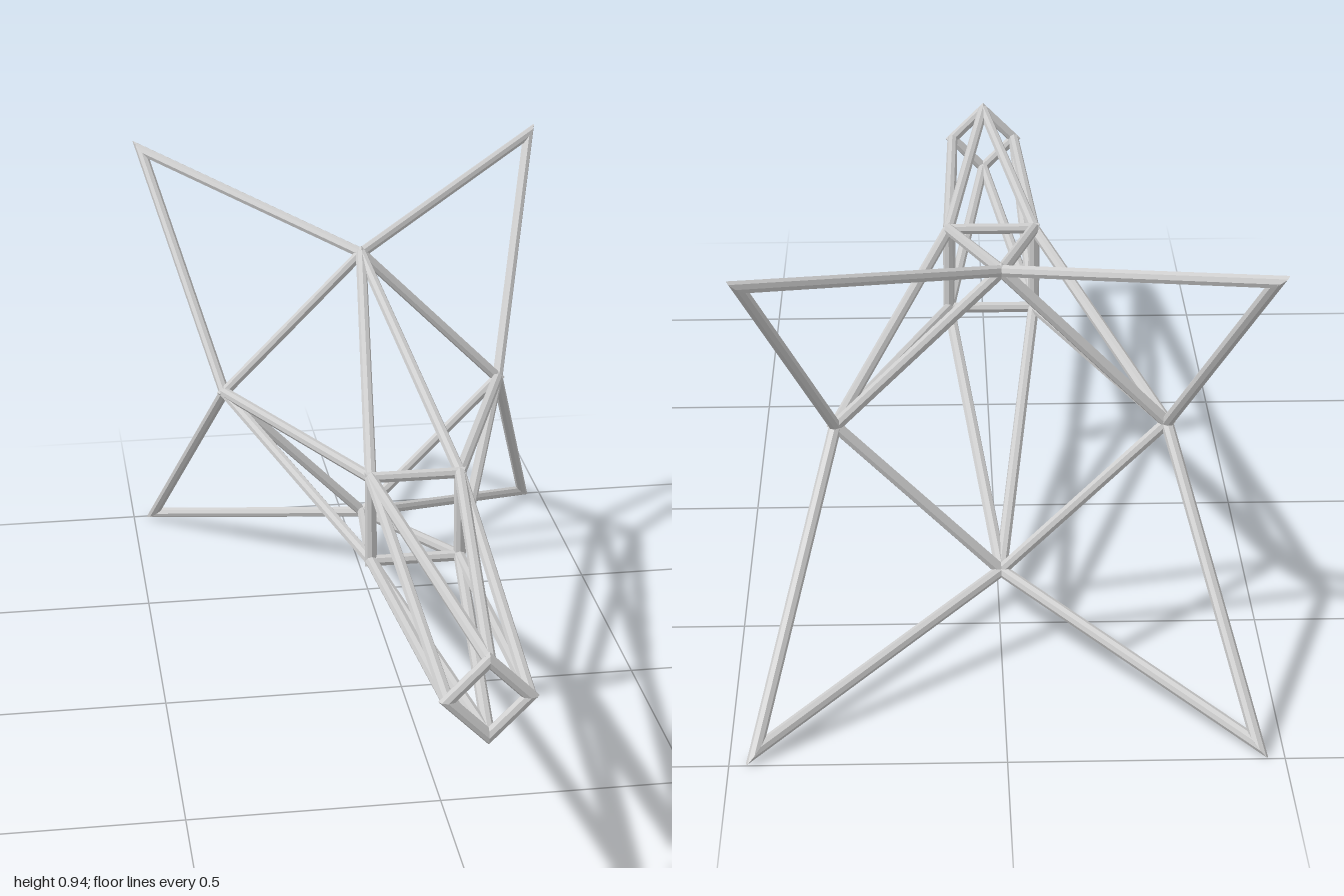
import * as THREE from 'three';

const CENTER_Y = 0.4695, RADIUS = 0.0118;

// Four nodes around the z axis, starting at the given angle (degrees).
function ringNodes(radius, z, startDeg) {
  return [0, 1, 2, 3].map((i) => {
    const a = THREE.MathUtils.degToRad(startDeg + 90 * i);
    return new THREE.Vector3(radius * Math.cos(a), radius * Math.sin(a), z);
  });
}

// Round strut between two nodes; ends are mitred on the node's radial symmetry plane.
function strutGeometry(a, b) {
  const dir = b.clone().sub(a);
  const len = dir.length();
  dir.normalize();
  const geo = new THREE.CylinderGeometry(RADIUS, RADIUS, len, 8);
  geo.applyQuaternion(new THREE.Quaternion().setFromUnitVectors(new THREE.Vector3(0, 1, 0), dir));
  const mid = a.clone().add(b).multiplyScalar(0.5);
  geo.translate(mid.x, mid.y, mid.z);
  const pos = geo.attributes.position;
  const v = new THREE.Vector3();
  for (let i = 0; i < pos.count; i++) {
    v.fromBufferAttribute(pos, i);
    const node = v.clone().sub(mid).dot(dir) < 0 ? a : b;
    const normal = new THREE.Vector3(-node.y, node.x, 0).normalize();
    const slope = dir.dot(normal);
    if (Math.abs(slope) < 0.3) continue; // very shallow joints stay square-cut
    v.addScaledVector(dir, -v.clone().sub(node).dot(normal) / slope);
    pos.setXYZ(i, v.x, v.y, v.z);
  }
  return geo;
}

export function createModel() {
  const model = new THREE.Group();
  model.name = 'strutFrame';
  const metal = new THREE.MeshStandardMaterial({ color: 0xcccccc, flatShading: true });
  metal.name = 'light grey metal';

  const nose = ringNodes(0.073, 0.988, 0);
  const waist = ringNodes(0.09 * Math.SQRT2, 0.182, 45);
  const tail = ringNodes(0.31, -0.577, 0);
  const tips = ringNodes(0.452 * Math.SQRT2, -0.977, 45);

  function addStruts(name, pairs) {
    const group = new THREE.Group();
    group.name = name;
    group.position.y = CENTER_Y;
    for (const [a, b] of pairs) {
      const mesh = new THREE.Mesh(strutGeometry(a, b), metal);
      mesh.name = name + 'Strut';
      group.add(mesh);
    }
    model.add(group);
  }

  const loop = (r) => r.map((p, i) => [p, r[(i + 1) % 4]]);
  // Each diagonal node joins the two axis nodes either side of it.
  const zigzag = (diag, axis) => diag.flatMap((p, i) => [[p, axis[i]], [p, axis[(i + 1) % 4]]]);

  // Cross frames
  addStruts('noseFrame', loop(nose));
  addStruts('waistFrame', loop(waist));
  addStruts('tailFrame', loop(tail));
  // Lengthwise members and the four pointed fins
  addStruts('noseBoom', zigzag(waist, nose));
  addStruts('body', zigzag(waist, tail));
  addStruts('fin', zigzag(tips, tail));
  return model;
}
